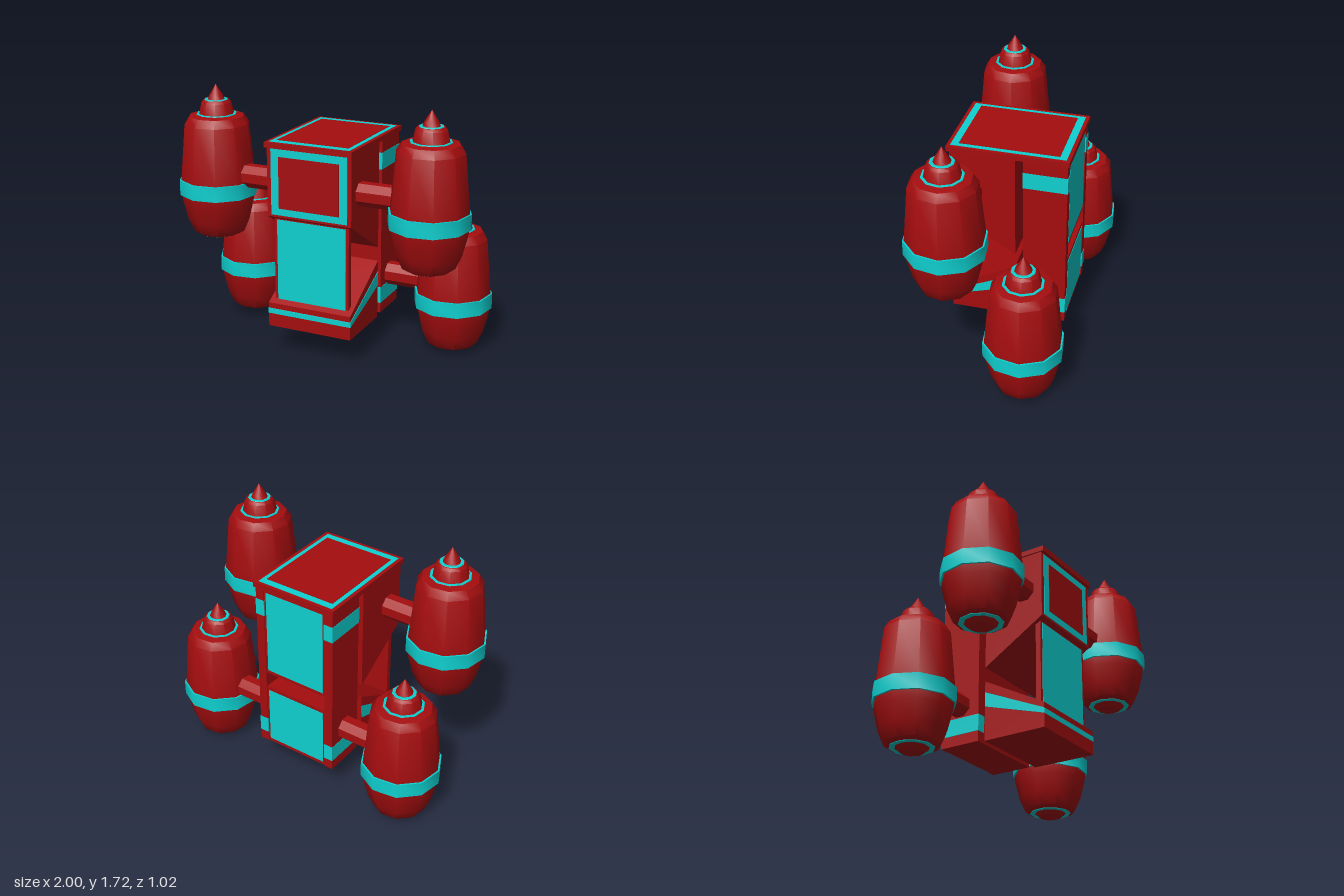
import * as THREE from 'three';
import { toCreasedNormals } from 'three/addons/utils/BufferGeometryUtils.js';

const red = new THREE.MeshStandardMaterial({ color: 0xa50d0f });
const teal = new THREE.MeshStandardMaterial({ color: 0x0fd0d0 });

function add(parent, name, geometry, material, x = 0, y = 0, z = 0) {
  const mesh = new THREE.Mesh(geometry, material);
  mesh.name = name;
  mesh.position.set(x, y, z);
  parent.add(mesh);
  return mesh;
}

// Box given by its lower and upper limits on each axis
function box(parent, name, material, [x0, x1], [y0, y1], [z0, z1]) {
  return add(parent, name, new THREE.BoxGeometry(x1 - x0, y1 - y0, z1 - z0), material,
    (x0 + x1) / 2, (y0 + y1) / 2, (z0 + z1) / 2);
}

// Side profile of [z, y] points, extruded across the width
function slab(parent, name, material, points, width) {
  const shape = new THREE.Shape(points.map(([z, y]) => new THREE.Vector2(z, y)));
  const geometry = new THREE.ExtrudeGeometry(shape, { depth: width, bevelEnabled: false });
  geometry.translate(0, 0, -width / 2).rotateY(-Math.PI / 2);
  return add(parent, name, geometry, material);
}

// Ten-sided turned part from [radius, y] points, listed bottom to top
function turned(parent, name, material, points) {
  const profile = points.map(([r, y]) => new THREE.Vector2(r, y));
  const geometry = toCreasedNormals(new THREE.LatheGeometry(profile, 10), 0.65);
  return add(parent, name, geometry, material);
}

function makePod() {
  const pod = new THREE.Group();
  pod.name = 'pod';
  turned(pod, 'podShell', red, [
    [0, 0.035], [0.145, 0.03], [0.17, 0.045], [0.208, 0.13], [0.238, 0.25], [0.247, 0.31],
    [0.247, 0.4], [0.212, 0.765], [0.18, 0.815], [0.13, 0.825], [0, 0.825],
  ]);
  turned(pod, 'podBand', teal, [[0.24, 0.3], [0.258, 0.3], [0.258, 0.4], [0.24, 0.4]]);
  turned(pod, 'noseCollar', red, [[0.116, 0.82], [0.098, 0.9], [0.082, 0.917], [0, 0.917]]);
  turned(pod, 'noseCone', red, [[0.06, 0.91], [0.045, 0.945], [0, 1.018]]);
  turned(pod, 'shoulderRing', teal, [[0.133, 0.82], [0.13, 0.829], [0.11, 0.829]]);
  turned(pod, 'collarRing', teal, [[0.078, 0.915], [0.075, 0.921], [0.055, 0.921]]);
  turned(pod, 'baseRing', teal, [[0.105, 0.027], [0.138, 0.027], [0.14, 0.034]]);
  turned(pod, 'nozzle', red, [[0, 0.003], [0.075, 0.003], [0.107, 0.035]]);
  return pod;
}

function makeBody() {
  const body = new THREE.Group();
  body.name = 'body';
  const half = 0.29;

  // Roof with inlaid border
  box(body, 'roof', red, [-0.3, 0.3], [1.385, 1.42], [-0.39, 0.39]);
  box(body, 'roofBorder', teal, [-0.276, 0.276], [1.4, 1.422], [-0.367, 0.367]);
  box(body, 'roofPanel', red, [-0.247, 0.247], [1.4, 1.424], [-0.32, 0.32]);

  // Upper cabin with sloping underside and framed front
  slab(body, 'cabin', red, [[-0.05, 0.68], [0.37, 0.935], [0.37, 1.386], [-0.05, 1.386]], 2 * half);
  box(body, 'cabinFrame', teal, [-0.263, 0.263], [0.95, 1.378], [0.35, 0.373]);
  box(body, 'cabinPanel', red, [-0.208, 0.208], [0.995, 1.33], [0.35, 0.376]);

  // Windscreen joining the cabin to the base
  box(body, 'windscreen', red, [-0.26, 0.26], [0.35, 0.93], [0.305, 0.34]);
  box(body, 'windscreenGlass', teal, [-0.24, 0.24], [0.365, 0.91], [0.32, 0.343]);

  // Wedge base with a tapering stripe
  slab(body, 'base', red, [[-0.05, 0.19], [0.38, 0.19], [0.38, 0.35], [-0.05, 0.585]], 2 * half);
  slab(body, 'baseStripe', teal, [[-0.048, 0.415], [0.383, 0.278], [0.383, 0.312], [-0.048, 0.51]],
    2 * half + 0.006);

  // Rear side plates with wrapped bands
  for (const side of [-1, 1]) {
    const c = side * (half - 0.03);
    box(body, 'sidePlate', red, [c - 0.03, c + 0.03], [0.2, 1.386], [-0.38, -0.1]);
    for (const [low, high] of [[1.19, 1.3], [0.27, 0.38]]) {
      box(body, 'sidePlateBand', teal, [c - 0.032, c + 0.032], [low, high], [-0.383, -0.097]);
    }
  }

  // Rear core and two panelled boxes with a notch between them
  box(body, 'rearCore', red, [-0.24, 0.24], [0.2, 1.386], [-0.24, -0.1]);
  for (const [low, high] of [[0.2, 0.645], [0.755, 1.386]]) {
    box(body, 'rearBox', red, [-0.235, 0.235], [low, high], [-0.375, -0.2]);
    box(body, 'rearPanel', teal, [-0.215, 0.215], [low + 0.025, high - 0.025], [-0.378, -0.3]);
  }
  body.position.x = -0.01;
  return body;
}

export function createModel() {
  const model = new THREE.Group();
  model.add(makeBody());

  // Upper pods sit forward, lower pods sit behind
  for (const side of [-1, 1]) {
    const lift = side < 0 ? 0.02 : 0;
    for (const [base, podZ, armZ] of [[0.68, 0.24, 0.237], [0, -0.24, -0.24]]) {
      const pod = makePod();
      pod.position.set(side * 0.743, base + lift, podZ + side * 0.015);
      pod.rotation.y = THREE.MathUtils.degToRad(26);
      model.add(pod);

      const armGeometry = new THREE.CylinderGeometry(0.078, 0.078, 0.45, 8);
      armGeometry.rotateY(Math.PI / 8).rotateZ(Math.PI / 2);
      add(model, 'podArm', toCreasedNormals(armGeometry, 0.5), red,
        side * 0.475, base + lift + 0.442, armZ);
    }
  }
  return model;
}
